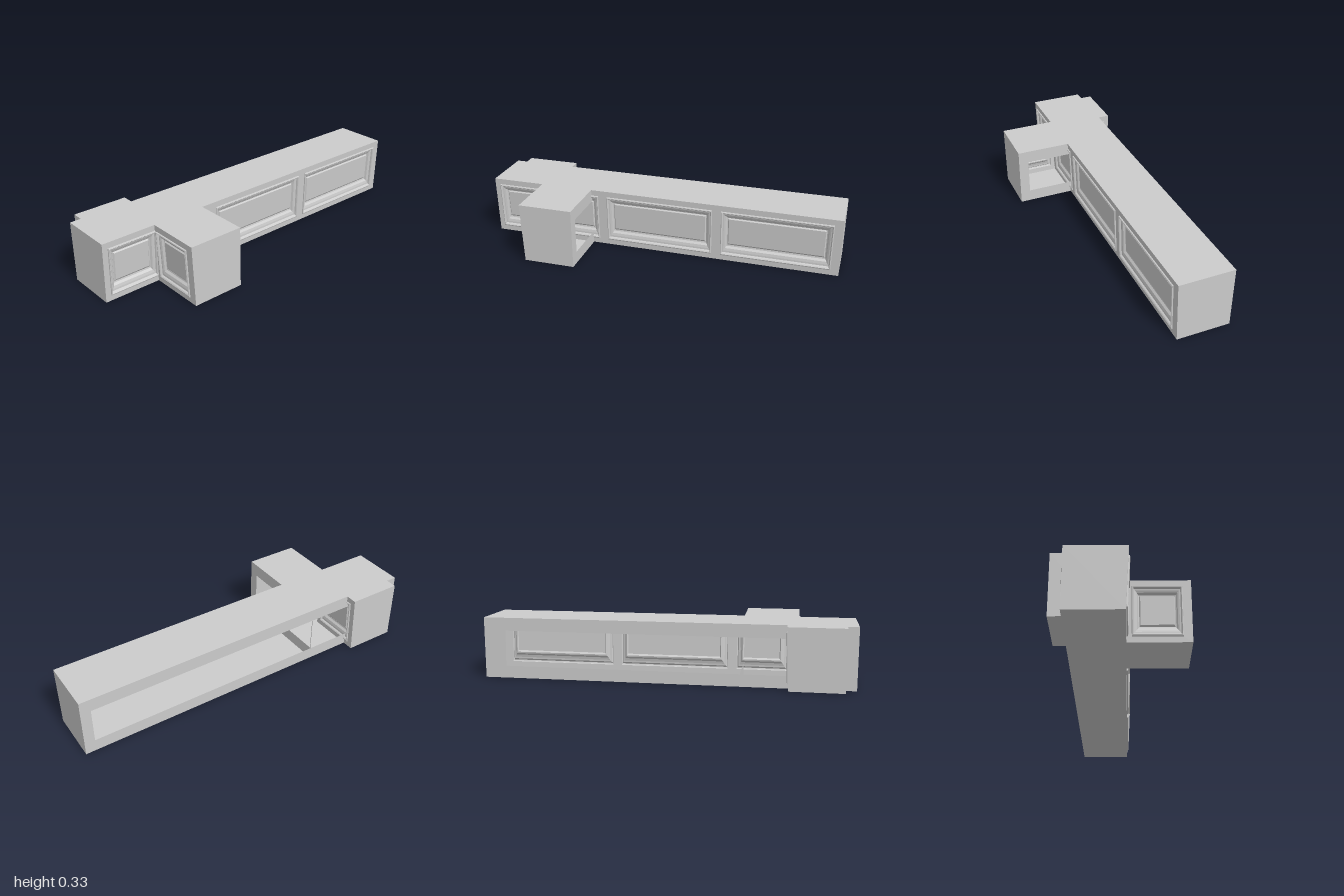
import * as THREE from 'three';

const H = 0.333, DEPTH = 0.3, SLOPE = 0.039, FRAME_W = 0.056;
const PANEL_Y = [0.03, 0.3], FIELD_Y = [0.1, 0.25], FIELD_INSET = 0.042;
const material = new THREE.MeshStandardMaterial({ color: 0xcccccc, side: THREE.DoubleSide });

// Moulding section: fraction of the way from panel edge to field, and relief
const MOULDING = [
  [0, 0], [0.03, 0.006], [0.12, 0.008], [0.2, 0.004], [0.26, -0.004], [0.4, -0.005],
  [0.6, -0.009], [0.75, -0.019], [0.87, -0.021], [1, -0.015],
];

function part(name, geometry) {
  const mesh = new THREE.Mesh(geometry, material);
  mesh.name = name;
  return mesh;
}

// Leans the panelled front inwards towards the floor
function lean(geometry) {
  const p = geometry.attributes.position;
  for (let i = 0; i < p.count; i++) p.setZ(i, p.getZ(i) + DEPTH / 2 + (p.getY(i) - H) * SLOPE);
  geometry.computeVertexNormals();
  return geometry;
}

function rectPath(x0, x1, y0, y1, Type = THREE.Path) {
  return new Type([[x0, y0], [x1, y0], [x1, y1], [x0, y1]].map(([x, y]) => new THREE.Vector2(x, y)));
}

// Moulded panel lofted from nested rectangles
function panelGeometry(x0, x1) {
  const mix = THREE.MathUtils.lerp;
  const rings = MOULDING.map(([t, z]) => {
    const a = x0 + t * FIELD_INSET, b = x1 - t * FIELD_INSET;
    const lo = mix(PANEL_Y[0], FIELD_Y[0], t), hi = mix(PANEL_Y[1], FIELD_Y[1], t);
    return [[a, lo, z], [b, lo, z], [b, hi, z], [a, hi, z]];
  });
  const v = [];
  for (let r = 0; r < rings.length - 1; r++) {
    for (let k = 0; k < 4; k++) {
      const n = (k + 1) % 4, o = rings[r], i = rings[r + 1];
      v.push(...o[k], ...o[n], ...i[n], ...o[k], ...i[n], ...i[k]);
    }
  }
  const f = rings[rings.length - 1];
  v.push(...f[0], ...f[1], ...f[2], ...f[0], ...f[2], ...f[3]);
  const g = new THREE.BufferGeometry();
  g.setAttribute('position', new THREE.Float32BufferAttribute(v, 3));
  return lean(g);
}

// Hollow counter: panelled front on +z, framed opening at the rear
function counter(name, length, panels, closedLeft, leftFrame) {
  const group = new THREE.Group();
  group.name = name;
  const L = length / 2, D = DEPTH / 2;

  // Top and floor
  group.add(part('top', new THREE.PlaneGeometry(length, DEPTH).rotateX(-Math.PI / 2).translate(0, H, 0)));
  const floorDepth = DEPTH - H * SLOPE;
  group.add(part('floor', new THREE.PlaneGeometry(length, floorDepth)
    .rotateX(Math.PI / 2).translate(0, 0, (floorDepth - DEPTH) / 2)));

  // End walls
  const endShape = new THREE.Shape([[-D, 0], [D - H * SLOPE, 0], [D, H], [-D, H]]
    .map(([z, y]) => new THREE.Vector2(-z, y)));
  for (const side of closedLeft ? [-1, 1] : [1]) {
    group.add(part('endWall', new THREE.ShapeGeometry(endShape).rotateY(Math.PI / 2).translate(side * L, 0, 0)));
  }

  // Rear frame around the opening
  const frame = rectPath(-L, L, 0, H, THREE.Shape);
  frame.holes.push(rectPath(-L + leftFrame, L - FRAME_W, 0.067, 0.262));
  const rear = new THREE.ShapeGeometry(frame);
  rear.scale(-1, 1, 1).rotateY(Math.PI).translate(0, 0, -D);
  // Keep the outward winding after mirroring
  const index = rear.index;
  for (let i = 0; i < index.count; i += 3) {
    const a = index.getX(i);
    index.setX(i, index.getX(i + 1));
    index.setX(i + 1, a);
  }
  rear.computeVertexNormals();
  rear.index.needsUpdate = true;
  // Flip once more so the faces look towards -z
  const facing = rear.attributes.normal.getZ(0);
  if (facing > 0) {
    for (let i = 0; i < index.count; i += 3) {
      const a = index.getX(i);
      index.setX(i, index.getX(i + 1));
      index.setX(i + 1, a);
    }
    rear.computeVertexNormals();
  }
  group.add(part('rearFrame', rear));

  // Front wall with moulded panels
  const wall = rectPath(-L, L, 0, H, THREE.Shape);
  for (const [x0, x1] of panels) {
    wall.holes.push(rectPath(x0, x1, ...PANEL_Y));
    group.add(part('frontPanel', panelGeometry(x0, x1)));
  }
  group.add(part('frontWall', lean(new THREE.ShapeGeometry(wall))));
  return group;
}

export function createModel() {
  const model = new THREE.Group();
  model.name = 'counter';

  // Long counter
  const main = counter('mainCounter', 2,
    [[-0.97, -0.69], [-0.64, -0.36], [-0.31, 0.3], [0.35, 0.955]], true, FRAME_W);
  main.position.z = -0.12;

  // Front wing, panelled towards -x and open towards +x
  const front = counter('frontWing', 0.6, [[-0.257, -0.01], [0.01, 0.257]], false, 0.004);
  front.rotation.y = -Math.PI / 2;
  front.position.set(-0.55, 0, 0.033);

  // Rear wing, panelled towards +x
  const rear = counter('rearWing', 0.313, [[-0.125, 0.125]], false, FRAME_W);
  rear.rotation.y = Math.PI / 2;
  rear.position.set(-0.79, 0, -0.1765);

  model.add(main, front, rear);
  return model;
}
